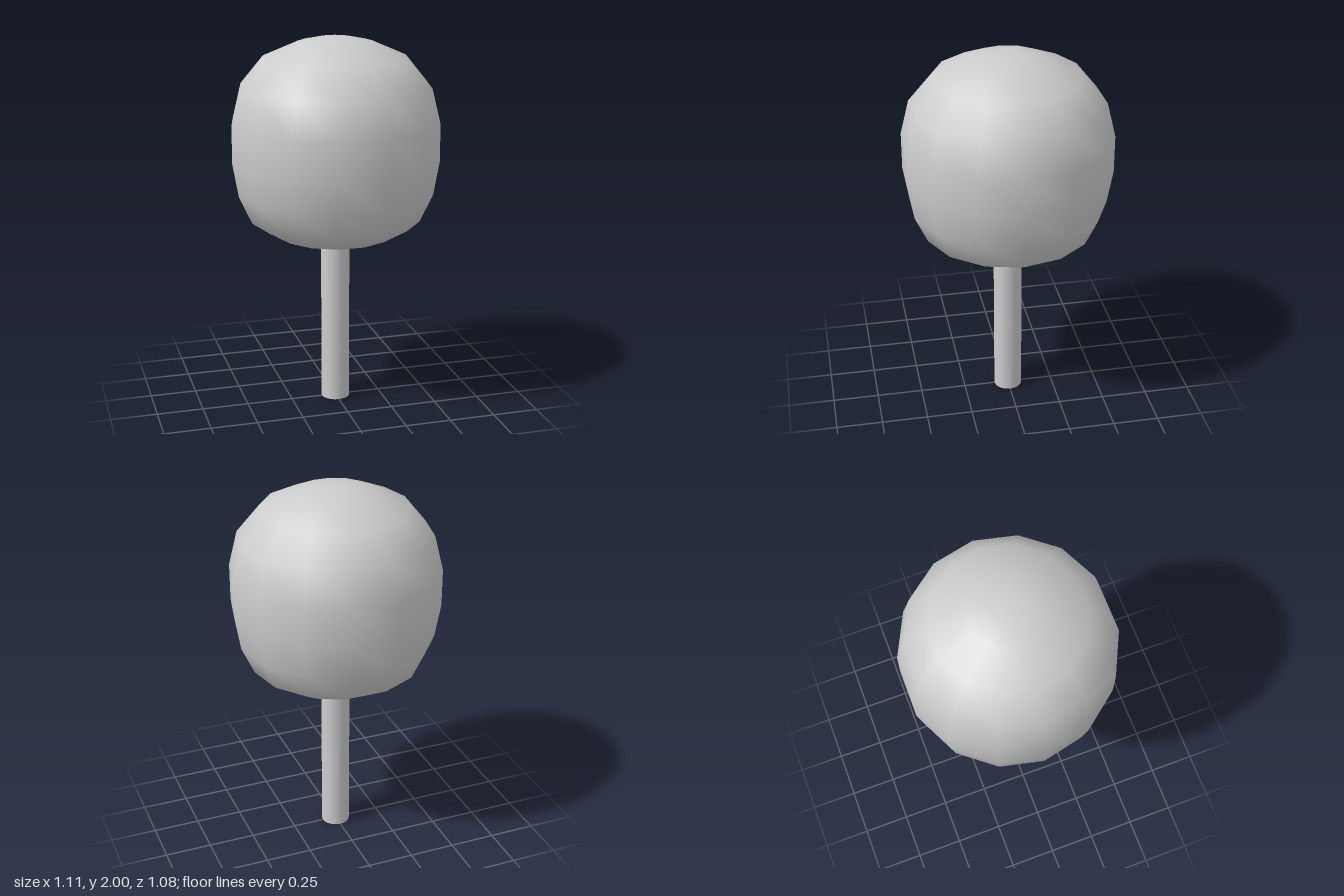
import * as THREE from 'three';

export function createModel() {
  const model = new THREE.Group();
  const material = new THREE.MeshStandardMaterial({ color: 0xcccccc });

  // Rounded crown: 14-sided smooth revolve, profile from bottom to top as [radius, y]
  const profile = [
    [0, 0.9], [0.08, 0.905], [0.313, 0.945], [0.456, 1.03], [0.525, 1.18],
    [0.556, 1.36], [0.556, 1.56], [0.51, 1.745], [0.386, 1.895],
    [0.197, 1.977], [0.086, 2], [0, 2],
  ].map(([r, y]) => new THREE.Vector2(r, y));
  const crown = new THREE.Mesh(new THREE.LatheGeometry(profile, 14), material);
  crown.rotation.y = Math.PI / 2; // corners on the x axis, flats facing z
  crown.name = 'crown';
  model.add(crown);

  // Straight trunk, ending just inside the crown
  const trunkHeight = 0.95;
  const trunk = new THREE.Mesh(new THREE.CylinderGeometry(0.077, 0.077, trunkHeight, 32), material);
  trunk.position.y = trunkHeight / 2;
  trunk.name = 'trunk';
  model.add(trunk);

  return model;
}
